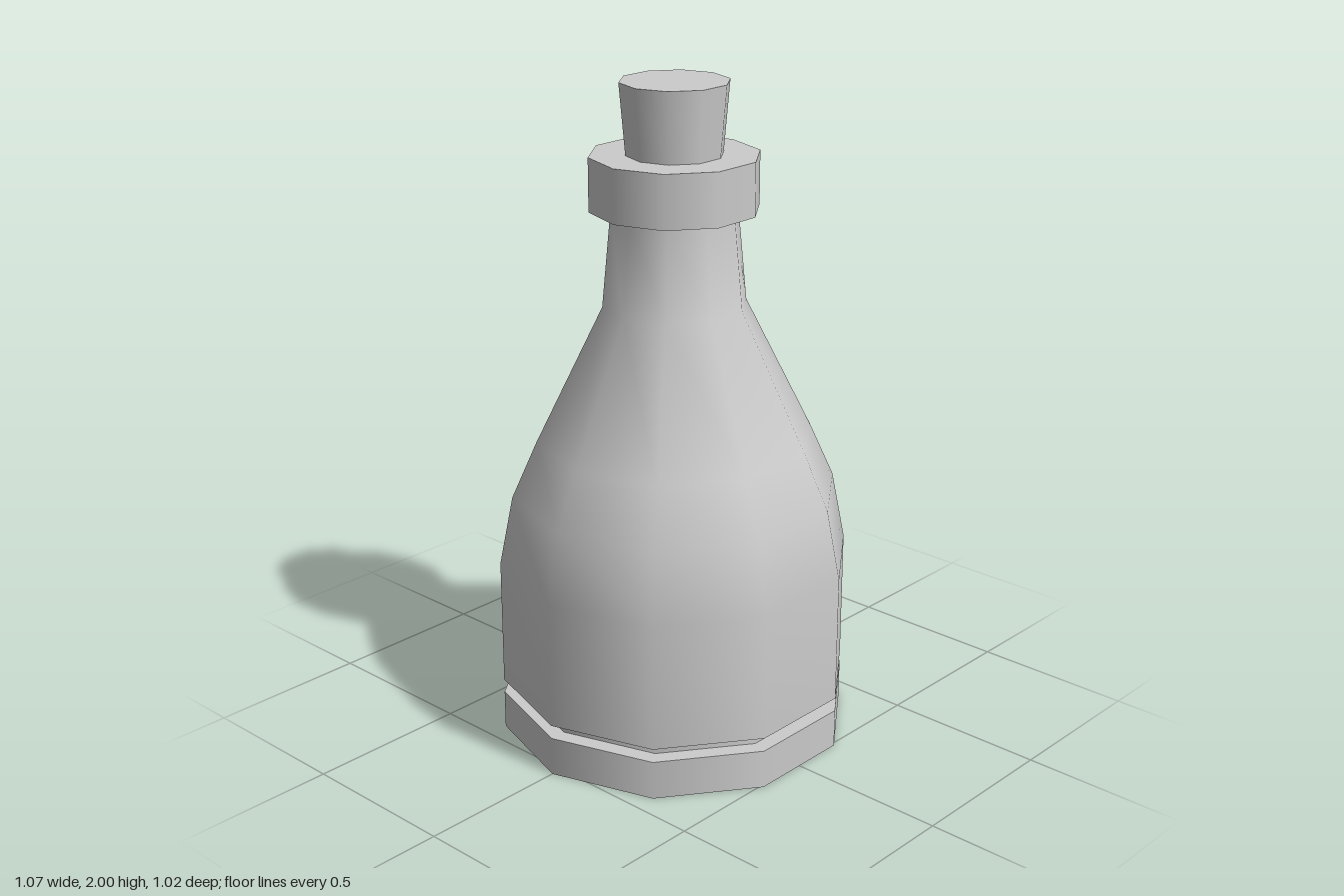
import * as THREE from 'three';
import { mergeGeometries } from 'three/addons/utils/BufferGeometryUtils.js';

const SIDES = 10;

// Turns each smooth run of [radius, height] points; edges between runs stay sharp.
function turned(name, material, runs) {
  const pieces = runs.map((run) => new THREE.LatheGeometry(
    run.map(([r, y]) => new THREE.Vector2(r, y)), SIDES, Math.PI / 2));
  const mesh = new THREE.Mesh(mergeGeometries(pieces), material);
  mesh.name = name;
  return mesh;
}

export function createModel() {
  const group = new THREE.Group();
  group.name = 'bottle';
  const grey = new THREE.MeshStandardMaterial({ color: 0xcccccc });

  // Foot with the recessed groove above it
  group.add(turned('base', grey, [
    [[0, 0], [0.536, 0]],
    [[0.536, 0], [0.536, 0.12]],
    [[0.536, 0.12], [0.485, 0.12]],
    [[0.485, 0.12], [0.485, 0.162]],
  ]));

  // Body, shoulder and neck in one smooth profile
  group.add(turned('body', grey, [
    [[0.485, 0.162], [0.536, 0.162]],
    [[0.536, 0.162], [0.536, 0.555], [0.494, 0.767], [0.418, 0.937], [0.215, 1.345], [0.188, 1.63]],
  ]));

  // Collar around the mouth
  group.add(turned('collar', grey, [
    [[0.188, 1.63], [0.251, 1.63]],
    [[0.251, 1.63], [0.251, 1.79]],
    [[0.251, 1.79], [0.143, 1.79]],
  ]));

  // Tapered stopper
  group.add(turned('cork', grey, [
    [[0.143, 1.79], [0.161, 2]],
    [[0.161, 2], [0, 2]],
  ]));

  return group;
}
